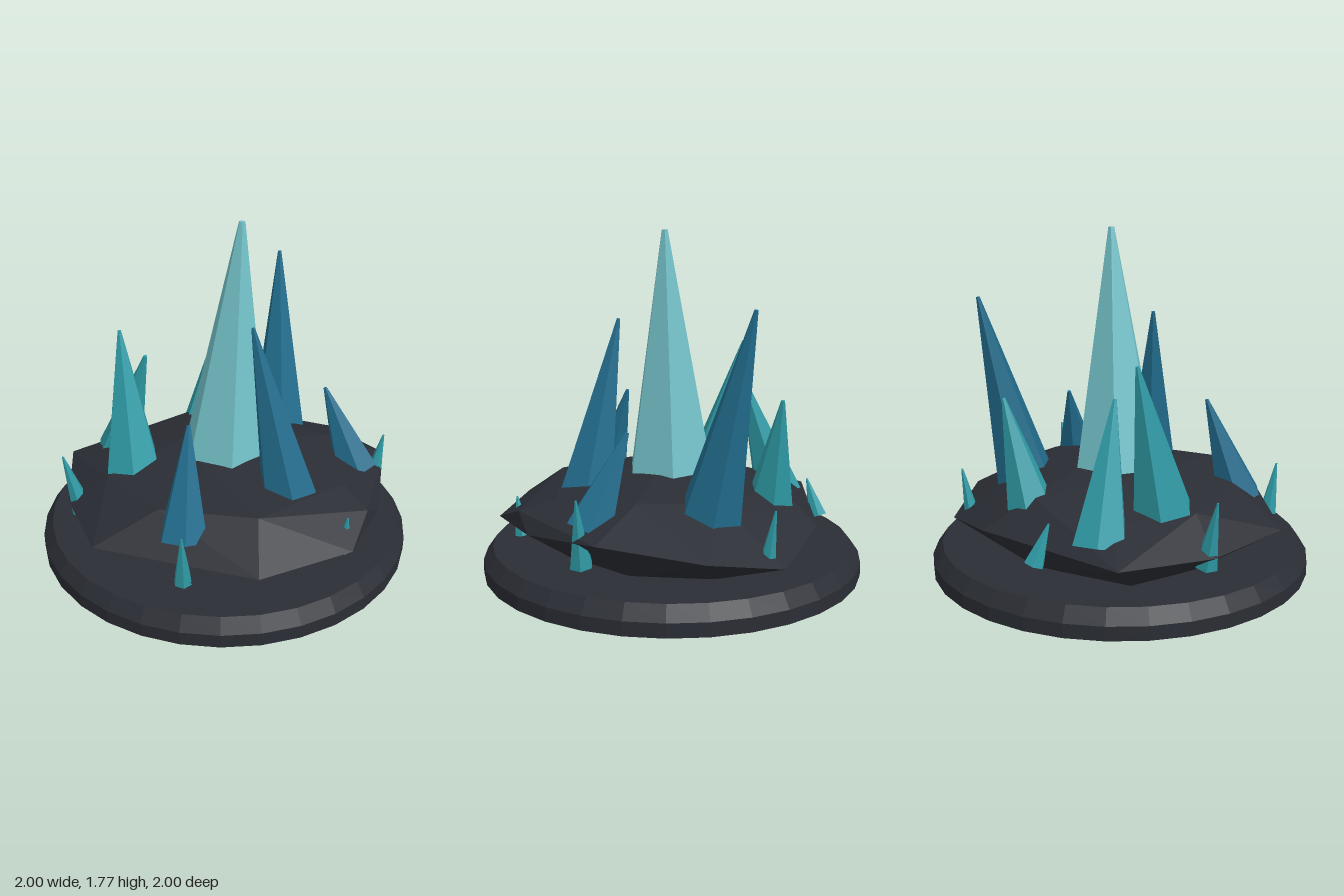
import * as THREE from 'three';
import { ConvexGeometry } from 'three/addons/geometries/ConvexGeometry.js';

const mat = (color) => new THREE.MeshStandardMaterial({ color, flatShading: true });

export function createModel() {
  const model = new THREE.Group();
  const stone = mat(0x2a2d34), pale = mat(0x74c3ca), teal = mat(0x2f9ba6), blue = mat(0x216c8c);

  const add = (name, geometry, material, parent = model) => {
    const mesh = new THREE.Mesh(geometry, material);
    mesh.name = name;
    parent.add(mesh);
    return mesh;
  };

  // Round plinth with a chamfered upper edge
  const profile = [[0, 0], [1, 0], [1, 0.07], [0.95, 0.14], [0, 0.14]];
  add('plinth', new THREE.LatheGeometry(profile.map(([x, y]) => new THREE.Vector2(x, y)), 32), stone);

  // Faceted rock: rim, shoulder, crown and a narrower foot
  const rockPoints = [
    [-0.05, 0.22, -0.9], [0.35, 0.3, -0.85], [0.75, 0.37, -0.54], [0.86, 0.31, -0.05],
    [0.84, 0.39, 0.1], [0.84, 0.3, 0.35], [0.5, 0.3, 0.74], [0.3, 0.22, 0.81],
    [-0.35, 0.3, 0.83], [-0.7, 0.28, 0.49], [-0.94, 0.3, 0.05], [-0.45, 0.3, -0.66],
    [0.4, 0.47, 0.5], [-0.1, 0.45, 0.6], [-0.5, 0.43, 0.4], [-0.65, 0.41, 0],
    [-0.4, 0.46, -0.4], [0.05, 0.46, -0.55], [0.45, 0.49, -0.4], [0.68, 0.45, 0],
    [0.22, 0.53, 0.1], [0, 0.52, 0.25], [-0.25, 0.53, 0.05], [-0.1, 0.535, -0.2], [0.2, 0.535, -0.15],
    [-0.78, 0.17, 0.1],
  ].map((p) => new THREE.Vector3(...p));
  for (let i = 0; i < 10; i++) {
    const a = (i / 10) * Math.PI * 2;
    rockPoints.push(new THREE.Vector3(0.6 * Math.cos(a), 0.13, 0.66 * Math.sin(a)));
  }
  add('rock', new ConvexGeometry(rockPoints), stone);

  // Tapered six-sided crystal from a base centre to a blunt tip;
  // bury extends the shaft below the base by a fraction of its length
  const crystal = (name, base, tip, radius, tipRadius, material, parent, bury = 0) => {
    const top = new THREE.Vector3(...tip);
    const axis = top.clone().sub(new THREE.Vector3(...base)).multiplyScalar(1 + bury);
    const r = radius + (radius - tipRadius) * bury;
    const geometry = new THREE.CylinderGeometry(tipRadius, r, axis.length(), 6, 1, false, Math.PI / 6);
    const mesh = add(name, geometry, material, parent);
    mesh.position.copy(top).addScaledVector(axis, -0.5);
    mesh.quaternion.setFromUnitVectors(new THREE.Vector3(0, 1, 0), axis.normalize());
  };

  // Central spire
  crystal('centralCrystal', [0.01, 0.5, -0.01], [0.075, 1.77, -0.05], 0.245, 0.017, pale, model, 0.1);

  // Ring of leaning crystals
  const ring = new THREE.Group();
  ring.name = 'crystalRing';
  model.add(ring);
  [
    ['backCrystal', [0.11, 0.45, -0.54], [0.02, 1.41, -0.745], 0.155, blue],
    ['leftCrystal', [0.42, 0.47, 0.15], [0.225, 1.315, 0.165], 0.145, blue],
    ['backLeftCrystal', [0.63, 0.43, -0.31], [0.455, 0.82, -0.325], 0.11, blue],
    ['frontCrystal', [0.05, 0.41, 0.61], [0.01, 0.88, 0.455], 0.115, blue],
    ['frontRightCrystal', [-0.44, 0.44, 0.23], [-0.55, 1.155, 0.115], 0.155, teal],
    ['rightCrystal', [-0.65, 0.4, -0.045], [-0.46, 0.98, 0.005], 0.125, teal],
    ['backRightCrystal', [-0.32, 0.46, -0.45], [-0.29, 0.94, -0.565], 0.11, teal],
  ].forEach(([name, base, tip, r, m]) => crystal(name, base, tip, r, 0.01, m, ring, 0.15));

  // Small shards around the rim of the rock
  const shards = new THREE.Group();
  shards.name = 'rimShards';
  model.add(shards);
  [
    [[0.135, 0.225, 0.805], [0.15, 0.5, 0.845], 0.048],
    [[-0.64, 0.22, 0.45], [-0.71, 0.555, 0.495], 0.06],
    [[0.73, 0.225, -0.365], [0.775, 0.555, -0.41], 0.058],
    [[0.76, 0.22, 0.235], [0.78, 0.42, 0.255], 0.045],
    [[-0.02, 0.225, -0.805], [-0.03, 0.49, -0.85], 0.042],
    [[-0.71, 0.235, -0.36], [-0.69, 0.43, -0.29], 0.052],
  ].forEach(([base, tip, r]) => crystal('shard', base, tip, r, 0.005, teal, shards));

  return model;
}
